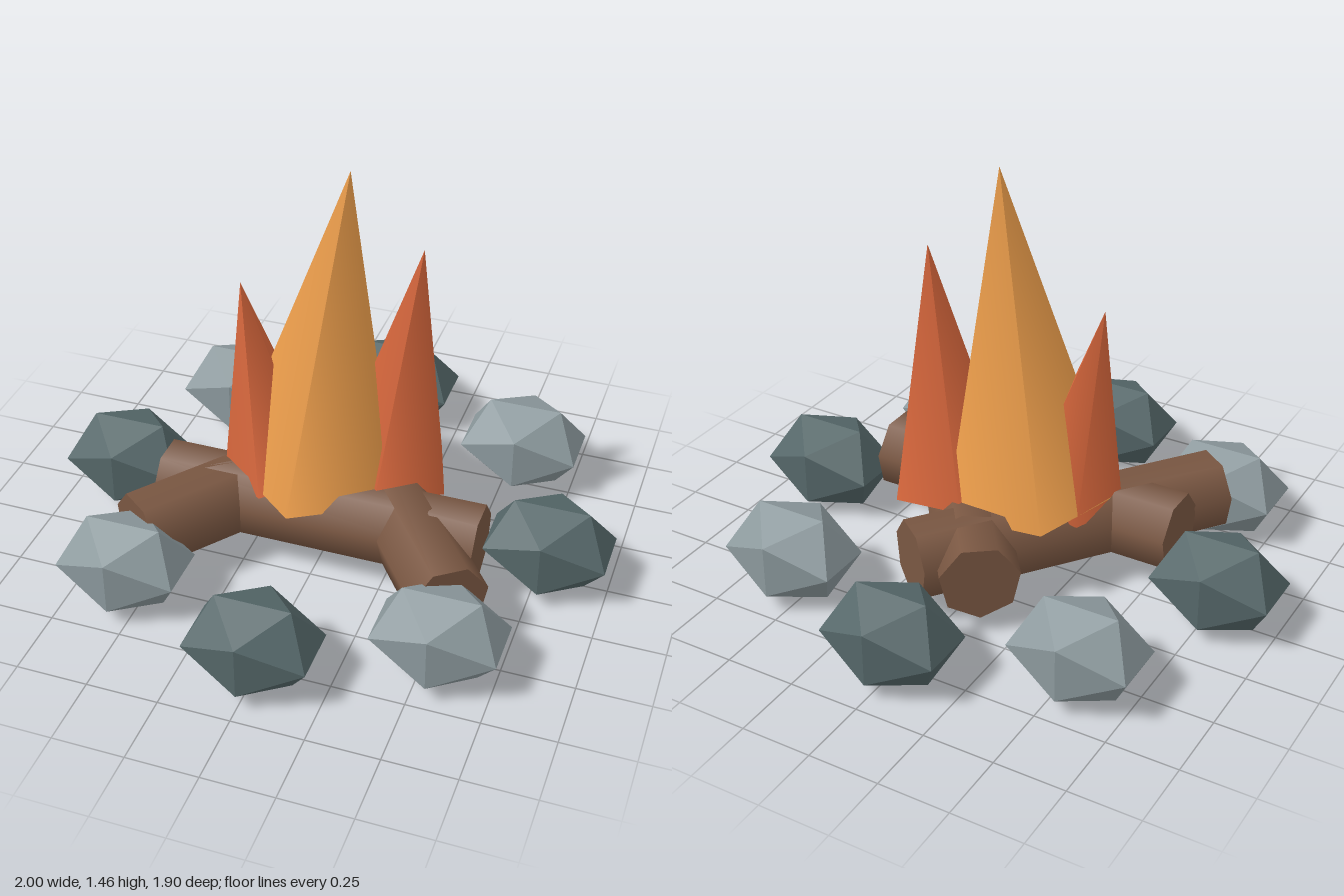
import * as THREE from 'three';

const paint = (color, flatShading = false) => new THREE.MeshStandardMaterial({ color, flatShading });

export function createModel() {
  const fire = new THREE.Group();
  fire.name = 'campfire';

  const bark = paint(0x7a5742);
  const amber = paint(0xf0a04c);
  const ember = paint(0xd8673c);
  const stones = [paint(0x556769, true), paint(0x8c999d, true)];

  // Ring of eight squashed stones, alternating dark and light
  const stoneGeo = new THREE.IcosahedronGeometry(1, 0).scale(0.25, 0.182, 0.194);
  for (let i = 0; i < 8; i++) {
    const a = (i * Math.PI) / 4;
    const stone = new THREE.Mesh(stoneGeo, stones[i % 2]);
    stone.name = 'stone' + (i + 1);
    stone.position.set(Math.sin(a) * 0.786, 0.155, Math.cos(a) * 0.786);
    fire.add(stone);
  }

  // Three seven-sided logs laid in a triangle
  const logGeo = new THREE.CylinderGeometry(0.139, 0.139, 1.15, 7).rotateX(Math.PI / 2);
  const logs = [
    ['frontLog', 0, 0.135, Math.PI / 2],
    ['leftLog', 0.21, -0.005, 0.645],
    ['rightLog', -0.21, -0.005, -0.645],
  ];
  for (const [name, x, z, turn] of logs) {
    const log = new THREE.Mesh(logGeo, bark);
    log.name = name;
    log.position.set(x, 0.2, z);
    log.rotation.y = turn;
    fire.add(log);
  }

  // Leaning five-sided flames, pivoting at the middle of their base
  const addFlame = (name, material, radius, height, x, z, lean) => {
    const geo = new THREE.ConeGeometry(radius, height, 5).translate(0, height / 2, 0);
    const flame = new THREE.Mesh(geo, material);
    flame.name = name;
    flame.position.set(x, 0.28, z);
    flame.rotation.z = lean;
    fire.add(flame);
  };
  addFlame('mainFlame', amber, 0.315, 1.19, -0.062, 0, -0.1);
  addFlame('leftFlame', ember, 0.22, 0.9, 0.193, -0.084, -0.1);
  addFlame('rightFlame', ember, 0.19, 0.745, -0.188, 0.053, 0.163);

  return fire;
}
